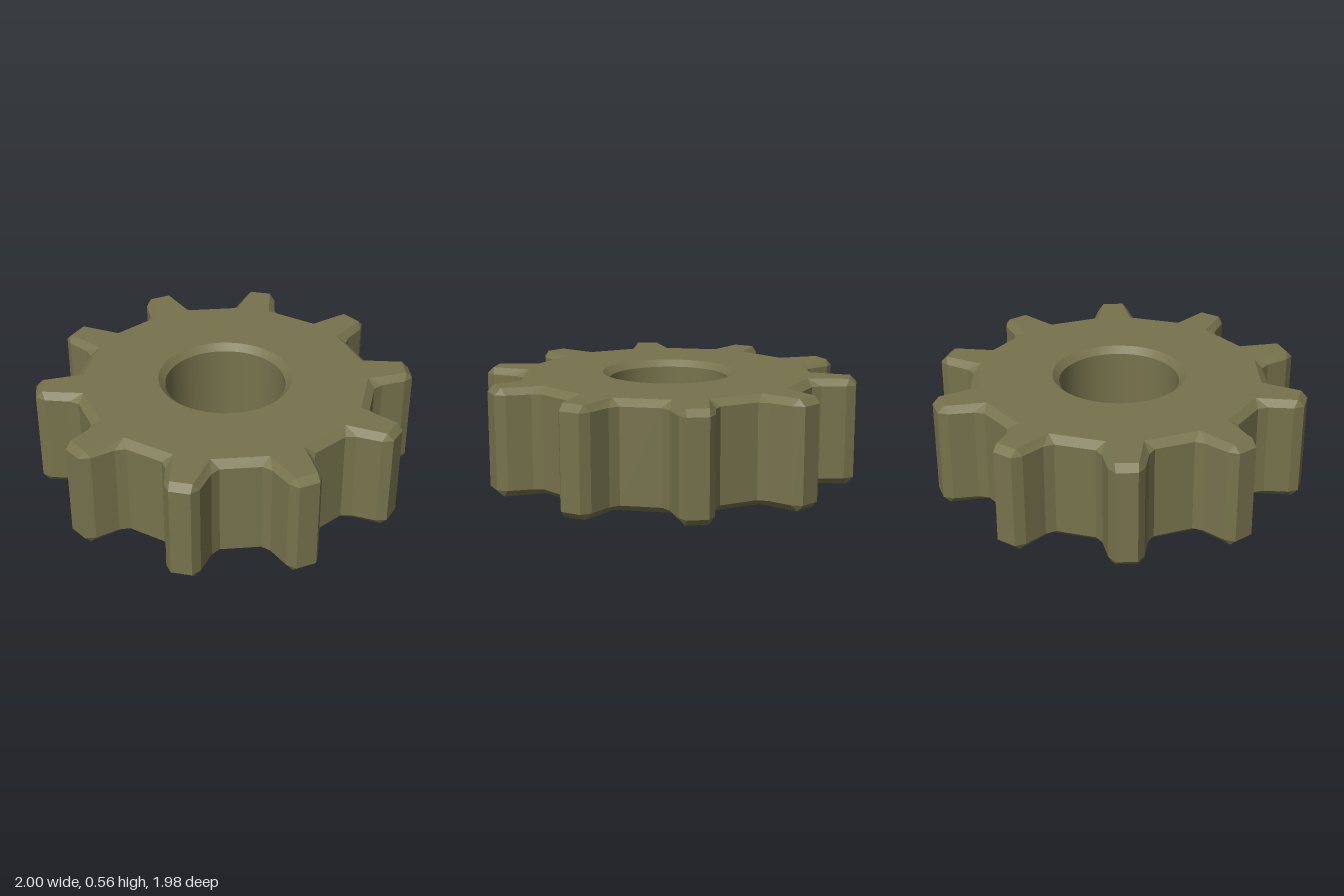
import * as THREE from 'three';

const TEETH = 10, PHASE = THREE.MathUtils.degToRad(6.6);
const H = 0.565, BEVEL = 0.035, BORE = 0.32, BORE_RIM = 0.355;

// Half-tooth profiles as [along tooth axis, half width], root to tip
const OUTER = [[0.777, 0.143], [0.825, 0.113], [0.953, 0.088], [1.0, 0.054]];
const INNER = [[0.752, 0.092], [0.752, 0.092], [0.965, 0.057], [0.965, 0.057]];

// Full gear outline: mirror the half tooth, then repeat it round the axis
function outline(half) {
  const tooth = [
    ...half.map(([u, v]) => new THREE.Vector2(u, -v)),
    ...half.map(([u, v]) => new THREE.Vector2(u, v)).reverse(),
  ];
  const points = [];
  for (let i = 0; i < TEETH; i++) {
    const a = PHASE + (i * Math.PI * 2) / TEETH;
    for (const p of tooth) points.push(p.clone().rotateAround(new THREE.Vector2(), a));
  }
  return points;
}

// Toothed wall with chamfered top and bottom edges, faceted
function wallGeometry(inner, outer) {
  const rings = [[inner, 0], [outer, BEVEL], [outer, H - BEVEL], [inner, H]]
    .map(([pts, y]) => pts.map((p) => new THREE.Vector3(p.x, y, -p.y)));
  const positions = [];
  const tri = (a, b, c) => {
    if (new THREE.Triangle(a, b, c).getArea() < 1e-7) return;
    for (const p of [a, b, c]) positions.push(p.x, p.y, p.z);
  };
  for (let r = 0; r < 3; r++) {
    for (let i = 0; i < outer.length; i++) {
      const j = (i + 1) % outer.length;
      tri(rings[r][i], rings[r][j], rings[r + 1][j]);
      tri(rings[r][i], rings[r + 1][j], rings[r + 1][i]);
    }
  }
  const g = new THREE.BufferGeometry();
  g.setAttribute('position', new THREE.Float32BufferAttribute(positions, 3));
  g.computeVertexNormals();
  return g;
}

// Flat face with the round hole; side is 1 for the top, -1 for the bottom
function faceGeometry(points, side) {
  const unique = points.filter((p, i) => p.distanceTo(points[(i + 1) % points.length]) > 1e-6);
  const shape = new THREE.Shape(unique.map((p) => new THREE.Vector2(p.x, p.y * side)));
  shape.holes.push(new THREE.Path().absarc(0, 0, BORE_RIM, 0, Math.PI * 2, true));
  return new THREE.ShapeGeometry(shape, 32)
    .rotateX((-side * Math.PI) / 2)
    .translate(0, side > 0 ? H : 0, 0);
}

export function createModel() {
  const gear = new THREE.Group();
  gear.name = 'gear';
  const material = new THREE.MeshStandardMaterial({ color: 0x77734d });
  const add = (name, geometry) => {
    const mesh = new THREE.Mesh(geometry, material);
    mesh.name = name;
    gear.add(mesh);
  };

  const inner = outline(INNER), outer = outline(OUTER);
  add('toothedRim', wallGeometry(inner, outer));
  add('topFace', faceGeometry(inner, 1));
  add('bottomFace', faceGeometry(inner, -1));

  // Bore: chamfer, straight wall, chamfer, running downwards to face inwards
  const bore = [[BORE_RIM, H], [BORE, H - BEVEL], [BORE, BEVEL], [BORE_RIM, 0]]
    .map(([r, y]) => new THREE.Vector2(r, y));
  ['boreTopChamfer', 'boreWall', 'boreBottomChamfer'].forEach((name, i) =>
    add(name, new THREE.LatheGeometry([bore[i], bore[i + 1]], 64)));
  return gear;
}
